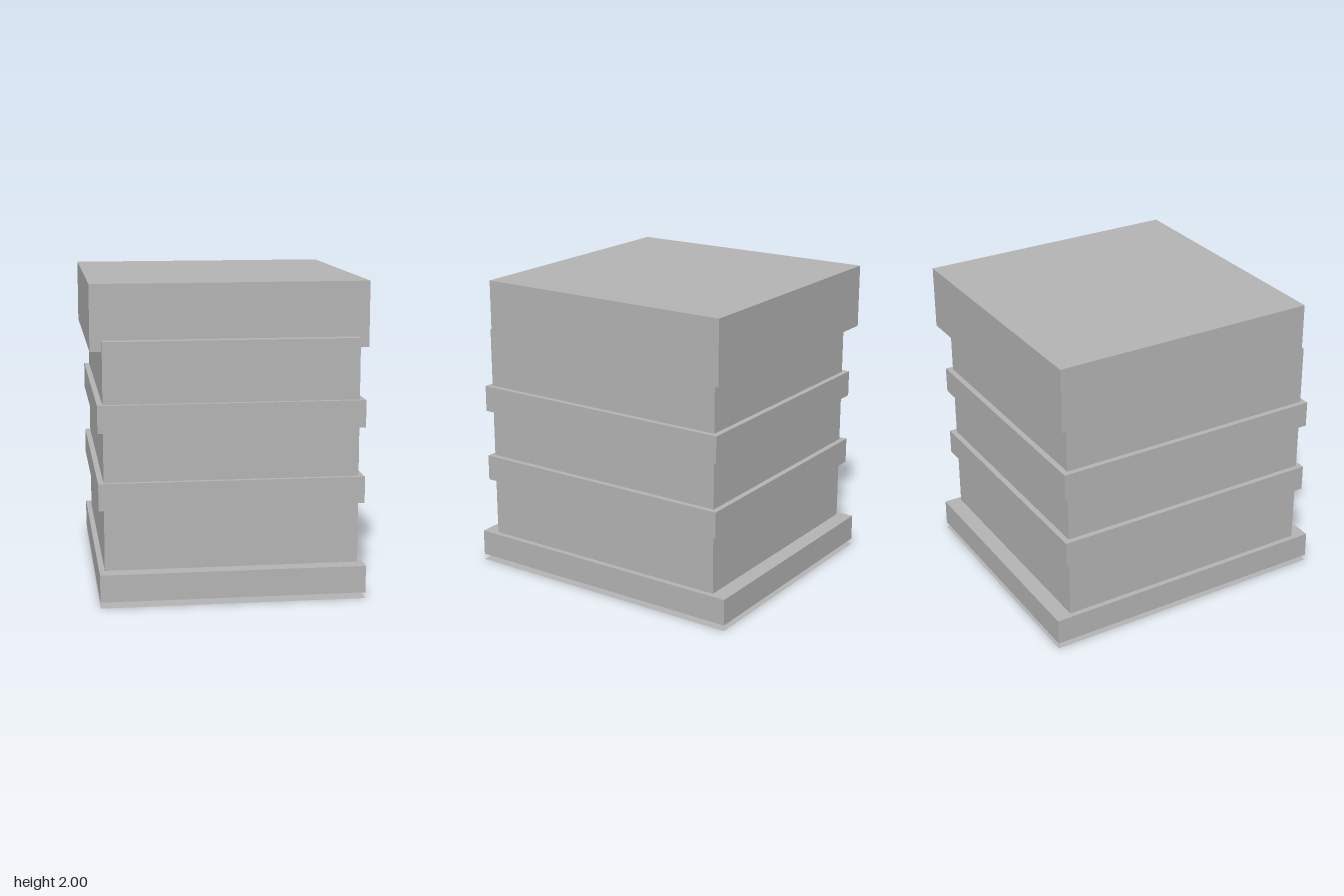
import * as THREE from 'three';

export function createModel() {
  const group = new THREE.Group();
  group.name = 'bandedCrate';
  const grey = new THREE.MeshStandardMaterial({ color: 0xb4b4b4, side: THREE.DoubleSide });
  grey.name = 'plainGrey';

  // Box given by half width, y range and z range; openBottom leaves out the lower face
  function block(name, halfX, y0, y1, z0, z1, openBottom = false) {
    const geometry = new THREE.BoxGeometry(halfX * 2, y1 - y0, z1 - z0);
    if (openBottom) {
      const faces = Array.from(geometry.index.array);
      faces.splice(18, 6);
      geometry.setIndex(faces);
      geometry.clearGroups();
    }
    const mesh = new THREE.Mesh(geometry, grey);
    mesh.name = name;
    mesh.position.set(0, (y0 + y1) / 2, (z0 + z1) / 2);
    group.add(mesh);
  }

  // Main body and the lid, which sits slightly towards the back
  block('body', 0.805, 0.04, 1.652, -0.875, 0.88);
  block('lid', 0.876, 1.583, 2, -0.945, 0.808);

  // Two raised bands around the body
  block('lowerBand', 0.84, 0.604, 0.775, -0.912, 0.912);
  block('upperBand', 0.84, 1.091, 1.264, -0.912, 0.912);

  // Skirt at the foot, open below
  block('baseBand', 0.84, 0.038, 0.212, -0.982, 0.982, true);

  // Thin sheet on the ground under the skirt
  const sheet = new THREE.Mesh(new THREE.PlaneGeometry(1.68, 1.964).rotateX(Math.PI / 2), grey);
  sheet.name = 'groundSheet';
  group.add(sheet);

  return group;
}
